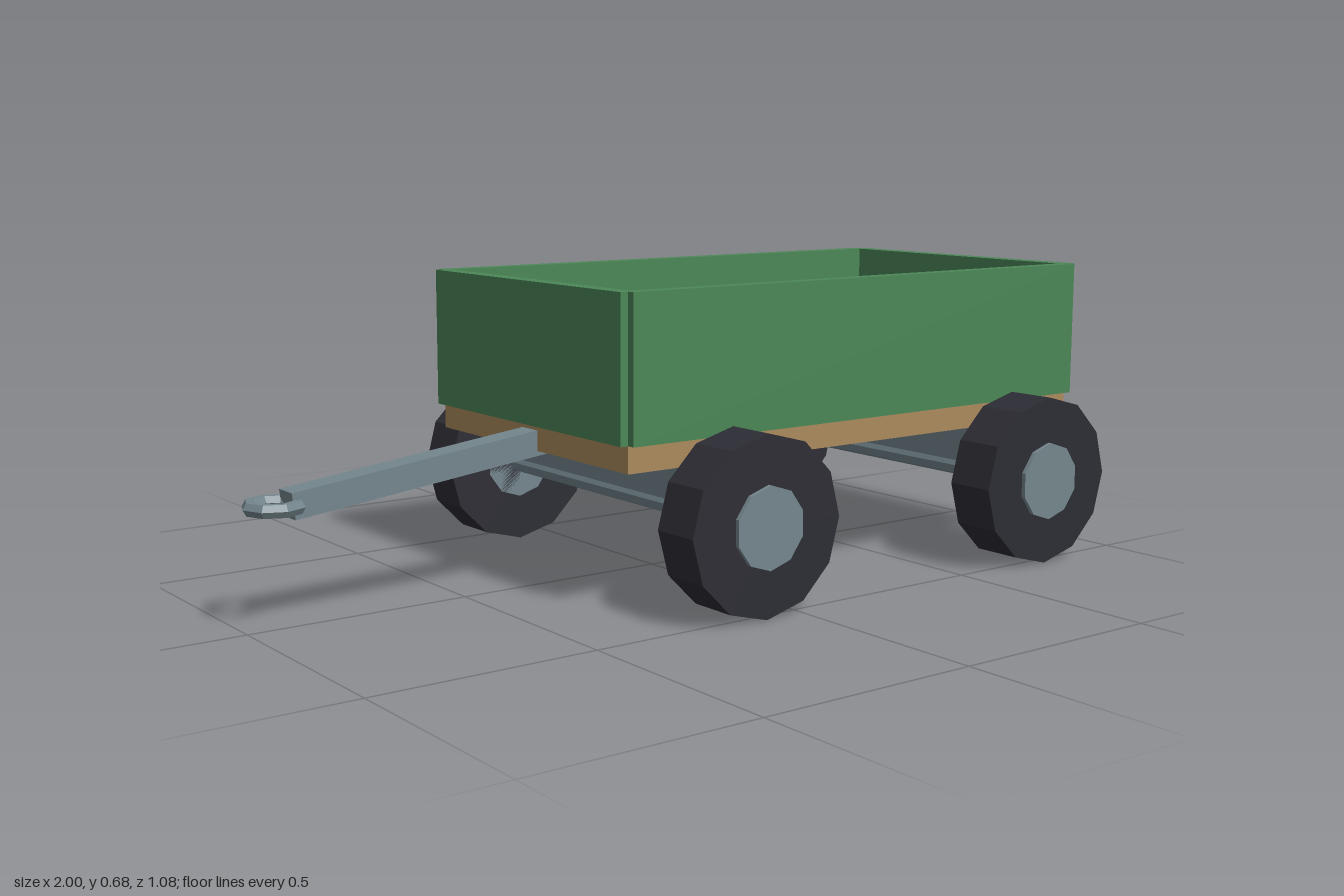
import * as THREE from 'three';

export function createModel() {
  const material = (name, color) => {
    const m = new THREE.MeshStandardMaterial({ color, flatShading: true });
    m.name = name;
    return m;
  };
  const green = material('green paint', 0x4b8757);
  const wood = material('wood', 0xab8a5c);
  const metal = material('grey metal', 0x74868d);
  const rubber = material('dark rubber', 0x2d2d35);

  const model = new THREE.Group();
  model.name = 'handCart';

  const add = (name, geometry, mat, x, y, z) => {
    const mesh = new THREE.Mesh(geometry, mat);
    mesh.name = name;
    mesh.position.set(x, y, z);
    model.add(mesh);
    return mesh;
  };
  const box = (name, mat, w, h, d, x, y, z) =>
    add(name, new THREE.BoxGeometry(w, h, d), mat, x, y, z);
  // Cylinder lying along z
  const roller = (name, mat, radius, length, sides, x, y, z) =>
    add(name, new THREE.CylinderGeometry(radius, radius, length, sides).rotateX(Math.PI / 2), mat, x, y, z);

  // Bed: floor with panels centred on its edges
  const bedX = 0.325, bedL = 1.31, bedW = 0.734;
  const panelH = 0.312, panelY = 0.521, panelT = 0.037;
  box('floor', wood, bedL, 0.058, bedW, bedX, 0.336, 0);
  for (const s of [-1, 1]) {
    box('sidePanel', green, bedL, panelH, panelT, bedX, panelY, s * bedW / 2);
    box('endPanel', green, panelT, panelH, bedW, bedX + s * bedL / 2, panelY, 0);
  }

  // Running gear: bolster, axle, wheels and hubs
  const wheelY = 0.196;
  for (const x of [-0.097, 0.742]) {
    box('bolster', metal, 0.08, 0.095, 0.708, x, 0.2595, 0);
    roller('axle', metal, 0.028, 0.9, 8, x, wheelY, 0);
    for (const s of [-1, 1]) {
      roller('wheel', rubber, 0.194, 0.115, 12, x, wheelY, s * 0.4725);
      roller('hub', metal, 0.089, 0.125, 10, x, wheelY, s * 0.4775);
    }
  }

  // Drawbar sloping down to the hitch ring
  const start = new THREE.Vector2(-0.905, 0.255), end = new THREE.Vector2(-0.265, 0.332);
  const run = end.clone().sub(start);
  const bar = box('drawbar', metal, run.length(), 0.056, 0.059,
    (start.x + end.x) / 2, (start.y + end.y) / 2, 0);
  bar.rotation.z = run.angle();
  add('hitchRing', new THREE.TorusGeometry(0.051, 0.0155, 6, 8).rotateX(Math.PI / 2), metal, -0.934, 0.255, 0);

  return model;
}
